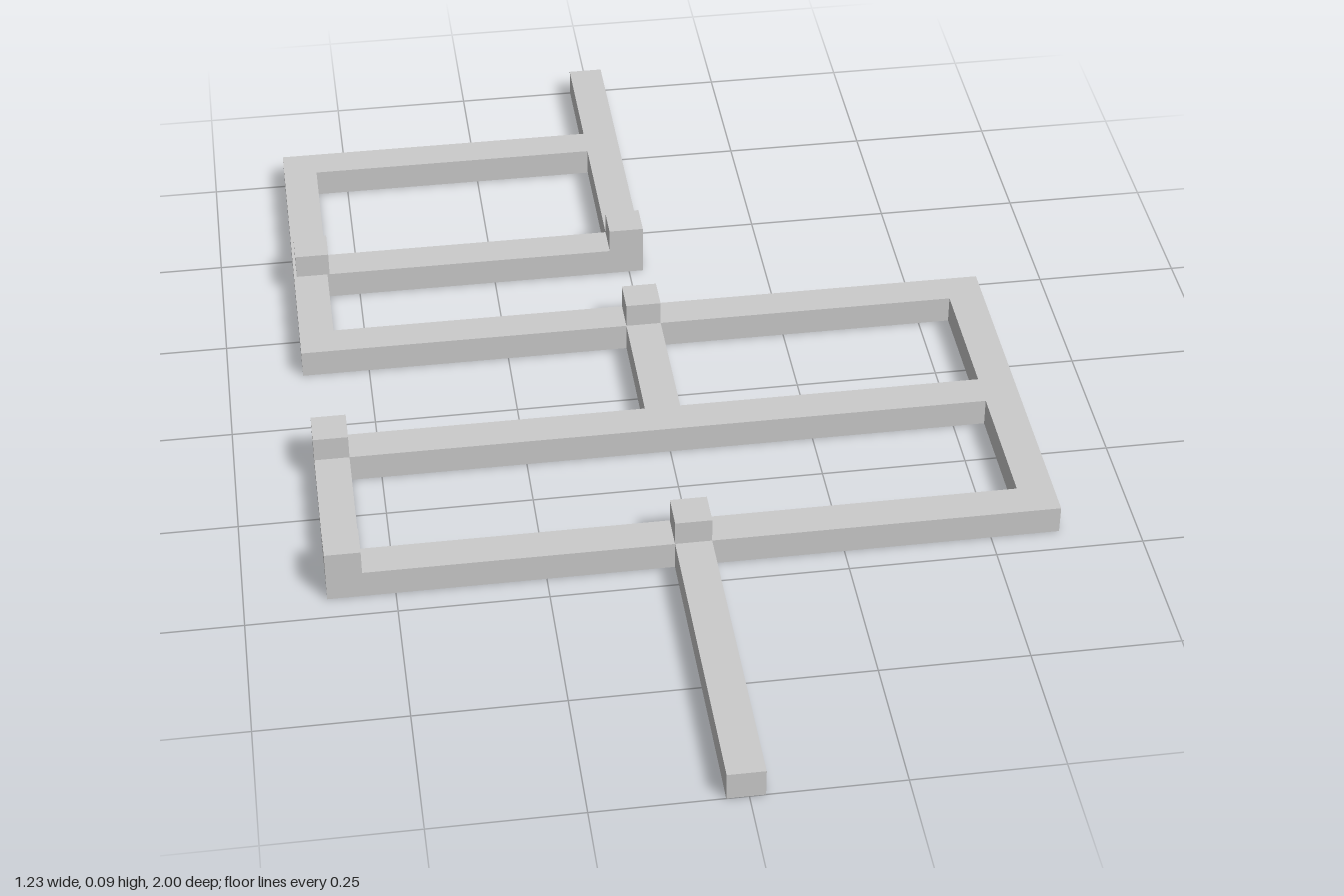
import * as THREE from 'three';

const BAR_TOP = 0.05;
const POST_TOP = 0.094;
const material = new THREE.MeshStandardMaterial({ color: 0xcccccc, flatShading: true });

// Box spanning x0..x1 and z0..z1, standing on the ground
function addBlock(group, name, x0, x1, z0, z1, top) {
  const mesh = new THREE.Mesh(new THREE.BoxGeometry(x1 - x0, top, z1 - z0), material);
  mesh.position.set((x0 + x1) / 2, top / 2, (z0 + z1) / 2);
  mesh.name = name;
  group.add(mesh);
}

export function createModel() {
  const model = new THREE.Group();
  model.name = 'barFrame';

  // Edges of the lengthwise bars
  const [cx0, cx1] = [-0.036, 0.026];
  const [bx0, bx1] = [-0.618, -0.557];
  const [fx0, fx1] = [-0.613, -0.553];
  const [rx0, rx1] = [0.555, 0.617];

  // Edges of the crosswise bars, back to front
  const rows = [[-0.776, -0.715], [-0.443, -0.382], [-0.21, -0.15], [0.091, 0.153], [0.394, 0.455]];
  const [r0, r1, r2, r3, r4] = rows;

  // Lengthwise bars
  const bars = [
    ['backStem', cx0, cx1, -1, r1[1]],
    ['frontStem', cx0, cx1, r4[1], 1],
    ['middleLink', cx0, cx1, r2[1], r3[0]],
    ['backSideBar', bx0, bx1, r0[0], r2[1]],
    ['frontSideBar', fx0, fx1, r3[0], r4[1]],
    ['leftSideBar', rx0, rx1, r2[0], r4[1]],
    // Crosswise bars
    ['backCrossBar', bx1, cx0, ...r0],
    ['innerBackCrossBar', bx1, cx0, ...r1],
    ['middleCrossBar', bx1, rx0, ...r2],
    ['innerFrontCrossBar', fx1, rx0, ...r3],
    ['frontCrossBar', fx1, rx0, ...r4],
  ];
  for (const bar of bars) addBlock(model, ...bar, BAR_TOP);

  // Raised square posts on the joints
  const posts = [
    ['backSidePost', fx0, fx1, r1], ['backStemPost', cx0, cx1, r1],
    ['middlePost', cx0, cx1, r2], ['innerFrontSidePost', fx0, fx1, r3],
    ['frontSidePost', fx0, fx1, r4], ['frontStemPost', cx0, cx1, r4],
  ];
  for (const [name, x0, x1, row] of posts) {
    const post = new THREE.Mesh(new THREE.BoxGeometry(x1 - x0, POST_TOP - BAR_TOP, row[1] - row[0]), material);
    post.position.set((x0 + x1) / 2, (POST_TOP + BAR_TOP) / 2, (row[0] + row[1]) / 2);
    post.name = name;
    model.add(post);
  }
  return model;
}
